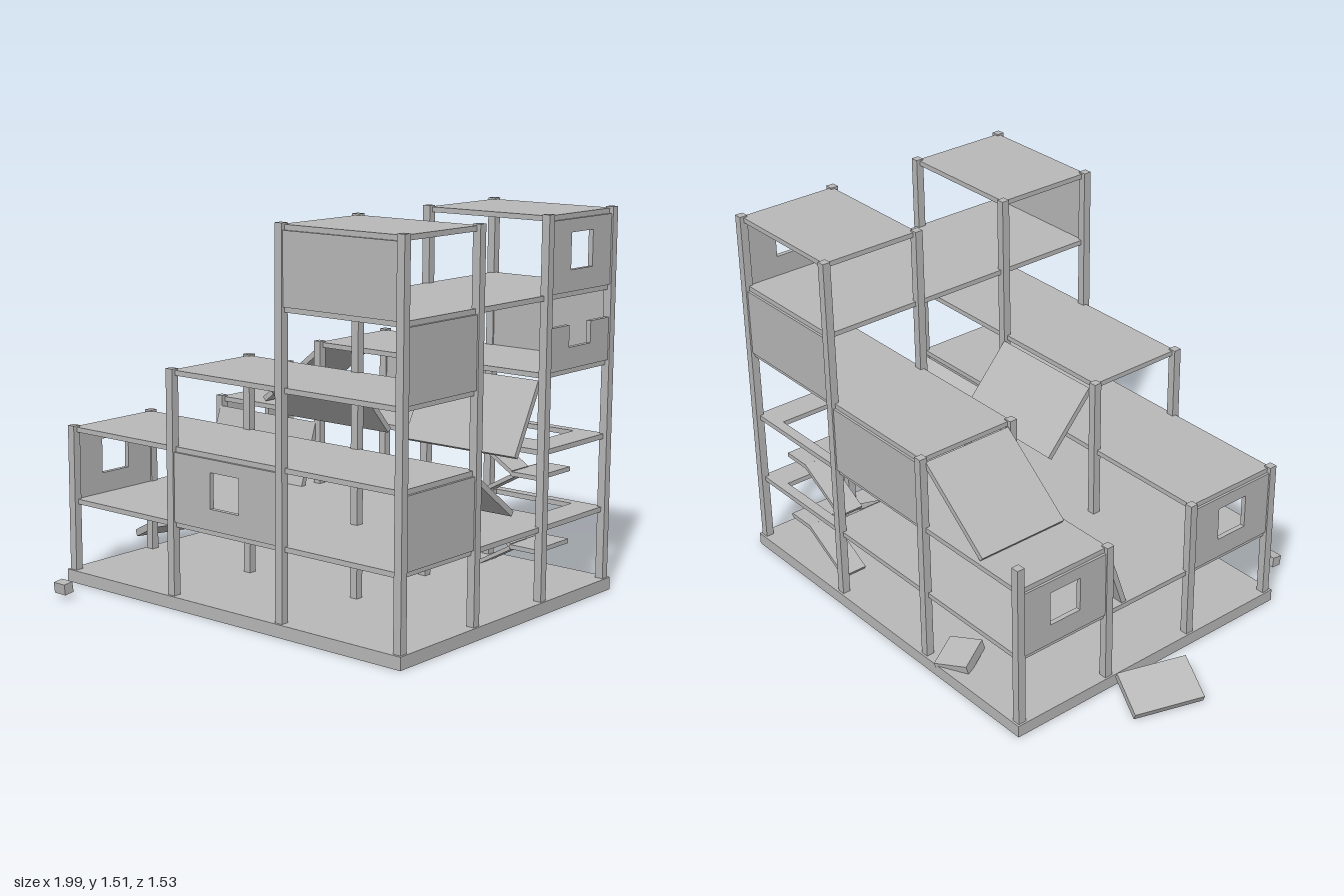
import * as THREE from 'three';

const XS = [-0.676, -0.128, 0.421, 0.970];   // column lines across
const ZS = [0.548, 0.121, -0.305, -0.732];   // column lines, front to back
const SLAB = 0.02, COL = 0.033, PANEL = 0.02;
const top = (level) => 0.046 + 0.2925 * level; // top of each floor

export function createModel() {
  const model = new THREE.Group();
  const concrete = new THREE.MeshStandardMaterial({ color: 0xb8b8b8 });
  concrete.name = 'concrete grey';

  const add = (name, geometry, x, y, z) => {
    const mesh = new THREE.Mesh(geometry, concrete);
    mesh.name = name;
    mesh.position.set(x, y, z);
    model.add(mesh);
    return mesh;
  };
  const box = (name, w, h, d, x, y, z) => add(name, new THREE.BoxGeometry(w, h, d), x, y, z);
  const outline = (pts) => pts.map(([x, y]) => new THREE.Vector2(x, y));
  const rect = (x0, y0, x1, y1) => outline([[x0, y0], [x1, y0], [x1, y1], [x0, y1]]);
  const extrude = (shape, depth) =>
    new THREE.ExtrudeGeometry(shape, { depth, bevelEnabled: false }).translate(0, 0, -depth / 2);

  // Foundation
  box('foundation', 1.695, 0.05, 1.332, 0.147, 0.025, -0.091);

  // Columns, heights from front row to back row
  const heights = [
    [top(2), top(3), top(5), top(5)],
    [top(2), top(3), top(5), top(5)],
    [top(2), top(3), top(5), top(5)],
    [0.722, top(3), top(5), top(5)],
  ];
  heights.forEach((row, j) => row.forEach((h, i) => {
    const height = h + 0.006 - 0.04;
    box('column', COL, height, COL, XS[i], 0.04 + height / 2, ZS[j]);
  }));

  // Floor slabs still standing: one string per row of bays, front to back
  const floors = [
    ['111', '111', '111'],
    ['111', '000', '111'],
    ['011', '000', '011'],
    ['001', '001', '001'],
    ['001', '000', '001'],
  ];
  floors.forEach((rows, n) => rows.forEach((row, j) => [...row].forEach((on, i) => {
    if (on === '0') return;
    const x0 = XS[i], x1 = XS[i + 1], z0 = ZS[j], z1 = ZS[j + 1];
    const y = top(n + 1) - SLAB / 2;
    if (n < 2 && i === 2 && j === 2) {
      // Stairwell opening
      const shape = new THREE.Shape(rect(x0, -z0, x1, -z1));
      shape.holes.push(new THREE.Path(rect(0.49, 0.455, 0.85, 0.69)));
      add('stairwellFloor', extrude(shape, SLAB).rotateX(-Math.PI / 2), 0, y, 0);
    } else {
      box('floorSlab', x1 - x0, SLAB, z0 - z1, (x0 + x1) / 2, y, (z0 + z1) / 2);
    }
  })));

  // Wall panels: kind is solid, window or broken
  const wall = (name, side, bay, line, storey, kind) => {
    const lines = side ? ZS : XS;
    const half = Math.abs(lines[bay + 1] - lines[bay]) / 2 - COL / 2;
    const mid = (lines[bay] + lines[bay + 1]) / 2;
    const h = top(storey) - SLAB - top(storey - 1);
    const w = 0.072, sill = 0.082, head = 0.222, cut = 0.167;
    let shape;
    if (kind === 'broken') {
      shape = new THREE.Shape(outline([[-half, 0], [half, 0], [half, cut], [w, cut],
        [w, sill], [-w, sill], [-w, cut], [-half, cut]]));
    } else {
      shape = new THREE.Shape(rect(-half, 0, half, h));
      if (kind === 'window') shape.holes.push(new THREE.Path(rect(-w, sill, w, head)));
    }
    const geometry = extrude(shape, PANEL);
    if (side) geometry.rotateY(Math.PI / 2);
    const y = top(storey - 1);
    if (side) add(name, geometry, XS[line], y, mid);
    else add(name, geometry, mid, y, ZS[line]);
  };
  wall('frontWindowWall', false, 1, 0, 2, 'window');
  wall('frontTowerWall', false, 2, 0, 5, 'solid');
  wall('backWall', false, 1, 3, 3, 'solid');
  wall('backTowerWall', false, 2, 3, 4, 'solid');
  wall('sideWall', true, 0, 3, 2, 'solid');
  wall('sideWall', true, 0, 3, 4, 'solid');
  wall('brokenWall', true, 2, 3, 4, 'broken');
  wall('sideWindowWall', true, 2, 3, 5, 'window');
  wall('sideWindowWall', true, 0, 0, 2, 'window');
  wall('sideWindowWall', true, 2, 0, 2, 'window');

  // Sloping plates, given by the two ends of their centre line
  const slopeZ = (name, x, w, z0, y0, z1, y1, t = 0.022) => {
    const plate = box(name, w, t, Math.hypot(z1 - z0, y1 - y0), x, (y0 + y1) / 2, (z0 + z1) / 2);
    plate.rotation.x = Math.atan((y0 - y1) / (z1 - z0));
  };
  const slopeX = (name, z, d, x0, y0, x1, y1, t = 0.022) => {
    const plate = box(name, Math.hypot(x1 - x0, y1 - y0), t, d, (x0 + x1) / 2, (y0 + y1) / 2, z);
    plate.rotation.z = Math.atan((y1 - y0) / (x1 - x0));
  };
  const bayX = (i) => (XS[i] + XS[i + 1]) / 2;
  slopeZ('collapsedSlab', bayX(1), 0.515, 0.112, 0.898, -0.097, 0.663);
  slopeZ('collapsedSlab', bayX(2), 0.515, -0.298, 0.893, -0.155, 0.625);
  slopeZ('collapsedSlab', bayX(2), 0.515, 0.112, 0.608, -0.14, 0.417);
  slopeZ('collapsedSlab', bayX(0), 0.535, -0.298, 0.59, -0.205, 0.318);
  slopeX('collapsedSlab', -0.525, 0.39, -0.135, 0.902, -0.455, 0.643);

  // Stairs: two flights and a landing on each of two storeys
  for (let s = 0; s < 2; s++) {
    const y = top(s);
    slopeX('lowerFlight', -0.632, 0.107, 0.49, y + 0.012, 0.72, y + 0.142, 0.016);
    box('landing', 0.125, 0.018, 0.225, 0.78, y + 0.139, -0.572);
    slopeX('upperFlight', -0.515, 0.112, 0.72, y + 0.145, 0.49, y + 0.285, 0.016);
  }

  // Rubble
  box('fallenSlab', 0.185, 0.03, 0.288, -0.87, 0.053, -0.205).rotation.set(0, -0.31, 0.43);
  box('rubbleBlock', 0.14, 0.045, 0.15, -0.24, 0.066, -0.665).rotation.set(-0.22, 0.45, -0.08);
  box('rubbleCube', 0.06, 0.043, 0.043, -0.538, 0.043, 0.745).rotation.set(0.12, 0, 0);

  return model;
}
